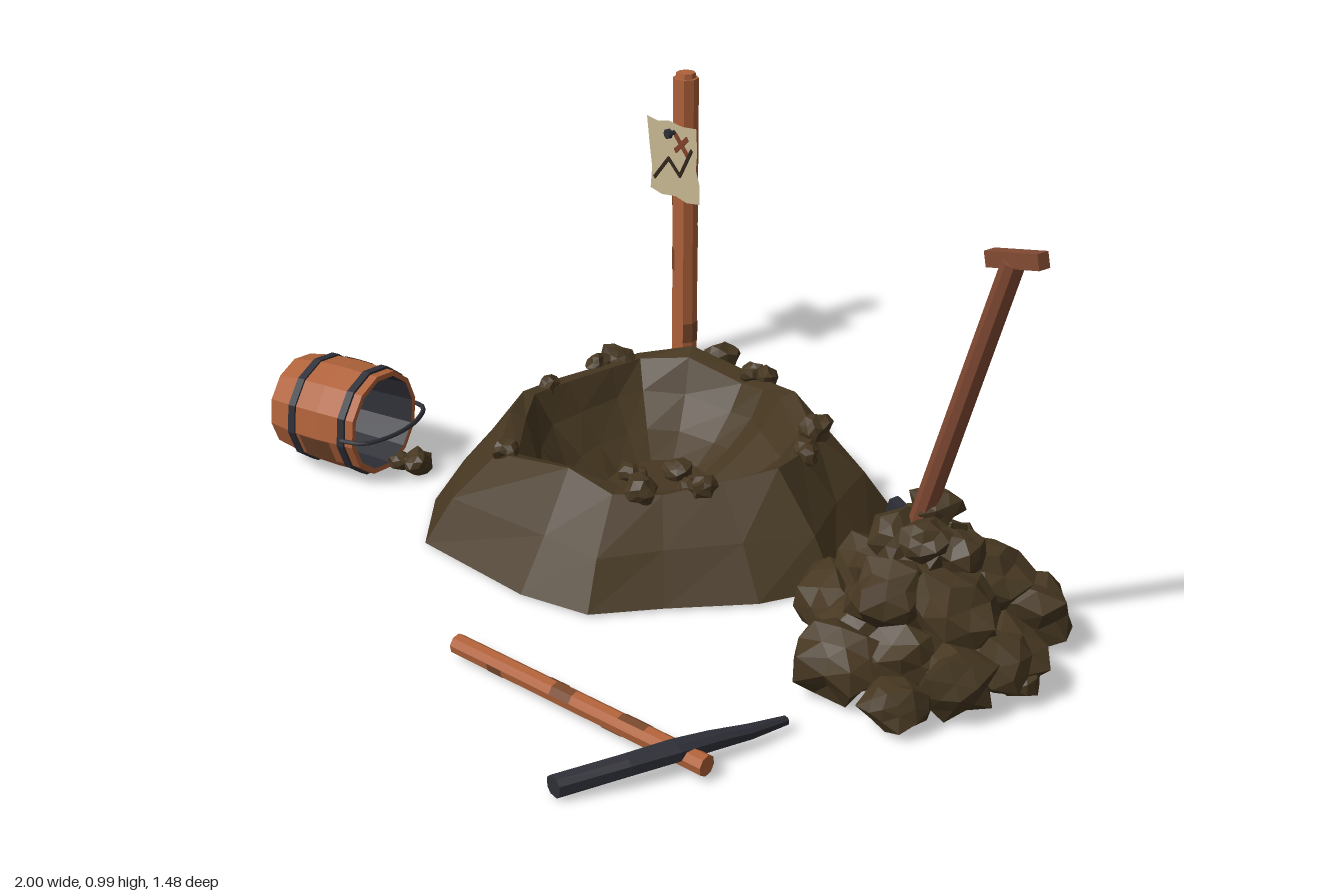
import * as THREE from 'three';

const mat = (name, color, side = THREE.FrontSide) => {
  const m = new THREE.MeshStandardMaterial({ color, side });
  m.name = name;
  return m;
};
const V = (x, y, z) => new THREE.Vector3(x, y, z);
const UP = V(0, 1, 0);

// Faceted normals
function flat(geo) {
  const g = geo.index ? geo.toNonIndexed() : geo;
  g.computeVertexNormals();
  return g;
}

// Closed strip of faces through rings of equal point count
function loft(rings) {
  const pos = [];
  const n = rings[0].length;
  for (let i = 0; i + 1 < rings.length; i++) {
    for (let j = 0; j < n; j++) {
      const k = (j + 1) % n;
      const a = rings[i][j], b = rings[i][k], c = rings[i + 1][j], d = rings[i + 1][k];
      for (const p of [a, c, b, b, c, d]) pos.push(p.x, p.y, p.z);
    }
  }
  const g = new THREE.BufferGeometry();
  g.setAttribute('position', new THREE.Float32BufferAttribute(pos, 3));
  return flat(g);
}

// Irregular stone, flattened where it meets the ground
function rockGeo(x, y, z, r, seed, yaw = seed * 1.3) {
  const g = new THREE.IcosahedronGeometry(1, 1);
  const p = g.attributes.position;
  for (let i = 0; i < p.count; i++) {
    const v = V(0, 0, 0).fromBufferAttribute(p, i);
    const h = Math.sin(Math.round(v.x * 50) * 1.7 + Math.round(v.y * 50) * 2.3 + Math.round(v.z * 50) * 3.1 + seed * 5.7) * 437.5;
    const s = r * (0.72 + 0.46 * (h - Math.floor(h)));
    v.multiply(V(1.1, 0.82, 0.88)).applyAxisAngle(UP, yaw).multiplyScalar(s);
    p.setXYZ(i, x + v.x, Math.max(0.015, y + v.y), z + v.z);
  }
  return flat(g);
}

export function createModel() {
  const root = new THREE.Group();
  root.name = 'diggingSite';
  const earth = mat('earth', 0x463721);
  const wood = mat('wood', 0xb0623a);
  const darkWood = mat('dark wood', 0x824a33);
  const stain = mat('wood stain', 0x78482c, THREE.DoubleSide);
  const iron = mat('iron', 0x2e2f37, THREE.DoubleSide);
  const paper = mat('paper', 0xc6b692, THREE.DoubleSide);
  const ink = mat('ink', 0x33261c);
  const red = mat('red mark', 0x80402a);

  const add = (name, geo, material, parent = root) => {
    const m = new THREE.Mesh(geo, material);
    m.name = name;
    parent.add(m);
    return m;
  };
  const rod = (name, a, b, r0, r1, material, sides = 8, open = false, t0 = 0, tl = Math.PI * 2) => {
    const d = b.clone().sub(a);
    const m = add(name, flat(new THREE.CylinderGeometry(r1, r0, d.length(), sides, 1, open, t0, tl)), material);
    m.position.copy(a).lerp(b, 0.5);
    m.quaternion.setFromUnitVectors(UP, d.normalize());
    return m;
  };
  // Worn patches lying on a shaft: [start, end, facet]
  const stains = (name, a, b, r, list) => list.forEach(([s, e, t]) =>
    rod(name, a.clone().lerp(b, s), a.clone().lerp(b, e), r, r, stain, 2, true, t * Math.PI / 4, Math.PI / 2));

  // Crater mound, its rim dipping where the soil has slipped
  const cx = -0.18, cz = -0.14;
  const outline = [[-0.32, -0.69], [-0.18, -0.68], [-0.01, -0.615], [0.22, -0.55], [0.33, -0.37], [0.4, -0.2],
    [0.35, -0.02], [0.24, 0.16], [0.16, 0.31], [0, 0.38], [-0.33, 0.43], [-0.5, 0.3], [-0.64, 0.13],
    [-0.7, -0.05], [-0.71, -0.29], [-0.71, -0.44], [-0.56, -0.59]];
  const profile = [[0, 0.015, 0], [1, 0.015, 0], [0.86, 0.12, 0.004], [0.67, 0.232, 0.022], [0.6, 0.222, 0.02],
    [0.52, 0.15, 0.01], [0.39, 0.085, 0.006], [0.26, 0.04, 0], [0, 0.035, 0]];
  add('craterMound', loft(profile.map(([s, y, w], i) => outline.map(([x, z], j) => {
    const k = i > 1 ? s * (1 + 0.03 * Math.sin(j * 2.4 + i)) : s;
    const px = cx + (x - cx) * k;
    return V(px, y - w * Math.cos((px + 0.25) * 18.5), cz + (z - cz) * k);
  }))), earth);

  // Pebbles on the rim, on the crater floor and beside the bucket
  const rim = [[-0.39, -0.5], [-0.22, -0.51], [-0.26, -0.5], [0.07, -0.42], [0.16, -0.31], [0.15, -0.02], [0.07, 0.1],
    [-0.27, 0.235], [-0.5, -0.04], [-0.55, -0.28], [-0.545, -0.22]];
  const floor = [[-0.21, -0.22], [-0.11, -0.18], [-0.26, -0.12], [-0.155, -0.075]];
  rim.forEach(([x, z], i) => add('rimPebble', rockGeo(x, 0.222, z, 0.033 + 0.01 * (i % 3 === 0), i + 1), earth));
  floor.forEach(([x, z], i) => add('floorPebble', rockGeo(x, 0.055, z, 0.035, i + 20), earth));
  add('bucketPebble', rockGeo(-0.655, 0.04, 0.255, 0.042, 31), earth);
  add('bucketPebble', rockGeo(-0.69, 0.035, 0.28, 0.03, 32), earth);

  // Heap of stones: x, y, z, radius, yaw
  [[0.53, 0.09, -0.42, 0.094, 0.2], [0.68, 0.08, -0.36, 0.08, 1], [0.8, 0.1, -0.38, 0.098, 0.5], [0.9, 0.09, -0.2, 0.1, 0],
    [0.9, 0.085, -0.08, 0.095, 2], [0.71, 0.09, 0.065, 0.1, 0.4], [0.54, 0.09, -0.07, 0.1, 2.6], [0.87, 0.065, 0.06, 0.07, 1],
    [0.43, 0.05, -0.24, 0.055, 0], [0.53, 0.09, -0.24, 0.1, 1.2], [0.64, 0.09, -0.06, 0.1, 2], [0.8, 0.1, -0.03, 0.09, 0.7],
    [0.7, 0.1, -0.22, 0.14, 1.7], [0.59, 0.17, -0.14, 0.095, 0.3], [0.62, 0.18, -0.27, 0.095, 2.1], [0.75, 0.19, -0.29, 0.095, 0.9],
    [0.8, 0.18, -0.16, 0.1, 0], [0.7, 0.19, -0.08, 0.095, 1.3], [0.68, 0.26, -0.2, 0.095, 2.4], [0.76, 0.28, -0.2, 0.065, 0.6],
    [0.66, 0.29, -0.13, 0.063, 1.9], [0.69, 0.35, -0.2, 0.058, 0.2], [0.74, 0.31, -0.14, 0.054, 1.1],
    [0.95, 0.06, -0.21, 0.045, 0.5], [0.48, 0.06, -0.12, 0.05, 2]]
    .forEach(([x, y, z, r, yaw], i) => add('heapStone', rockGeo(x, y, z, r, i + 40, yaw), earth));

  // Shovel stuck in the heap
  rod('shovelShaft', V(0.62, 0.13, -0.171), V(0.885, 0.96, -0.171), 0.025, 0.0235, darkWood);
  const grip = add('shovelGrip', new THREE.BoxGeometry(0.138, 0.032, 0.029), darkWood);
  grip.position.set(0.891, 0.967, -0.171);
  grip.rotation.z = 0.25;
  const blade = add('shovelBlade', new THREE.BoxGeometry(0.13, 0.19, 0.025), iron);
  blade.position.set(0.62, 0.22, -0.185);
  blade.rotation.z = -0.3;

  // Pickaxe on the ground
  const p0 = V(0.12, 0.038, 0.618), p1 = V(0.785, 0.042, 0.468);
  rod('pickShaft', p0, p1, 0.0225, 0.0225, wood);
  stains('pickShaftStain', p0, p1, 0.0237, [[0.16, 0.22, 0], [0.38, 0.45, 4], [0.42, 0.5, 6], [0.62, 0.7, 1], [0.68, 0.78, 5]]);
  const head = [[0.75, 0.034, 0.24, 0.009, 0.009], [0.747, 0.043, 0.33, 0.016, 0.014], [0.735, 0.052, 0.42, 0.021, 0.018],
    [0.722, 0.055, 0.5, 0.025, 0.02], [0.7, 0.051, 0.6, 0.022, 0.02], [0.655, 0.035, 0.735, 0.021, 0.021]];
  const corners = [[-1, -0.5], [-1, 0.5], [-0.5, 1], [0.5, 1], [1, 0.5], [1, -0.5], [0.5, -1], [-0.5, -1]];
  const headRing = ([x, y, z, w, h]) => corners.map(([a, b]) => V(x + a * w, y + b * h, z));
  const cap = ([x, y, z]) => corners.map(() => V(x, y, z));
  add('pickHead', loft([cap(head[0]), ...head.map(headRing), cap(head[5])]), iron);

  // Bucket lying on its side, with hoops and a bail
  const c = V(-0.83, 0.146, 0.365), d = V(0.92, 0, -0.39).normalize(), side = V(0.39, 0, 0.92).normalize();
  const bucket = new THREE.Group();
  bucket.name = 'bucket';
  bucket.position.copy(c);
  bucket.quaternion.setFromUnitVectors(UP, d);
  root.add(bucket);
  const lathe = (name, pts, m, p0 = 0, pl = Math.PI * 2, n = 12) =>
    add(name, flat(new THREE.LatheGeometry(pts.map(p => new THREE.Vector2(...p)), n, p0, pl)), m, bucket);
  lathe('bucketStaves', [[0, -0.132], [0.12, -0.132], [0.132, -0.06], [0.135, 0.02], [0.131, 0.13], [0.118, 0.13]], wood);
  lathe('bucketInside', [[0.118, 0.13], [0.11, -0.09], [0, -0.09]], iron);
  for (const [y, r] of [[-0.055, 0.137], [0.098, 0.138]]) {
    lathe('bucketHoop', [[r - 0.01, y - 0.01], [r, y - 0.01], [r, y + 0.01], [r - 0.01, y + 0.01]], iron);
  }
  for (const k of [1, 4, 8]) {
    lathe('bucketStain', [[0.1358, -0.03], [0.1367, 0.02], [0.1352, 0.06]], stain, k * Math.PI / 6, Math.PI / 6, 1);
  }
  const bail = [[0.1, -0.136], [0.16, -0.12], [0.19, -0.06], [0.198, 0], [0.19, 0.06], [0.16, 0.12], [0.1, 0.136]]
    .map(([a, b]) => c.clone().addScaledVector(d, a).addScaledVector(side, b));
  add('bucketBail', new THREE.TubeGeometry(new THREE.CatmullRomCurve3(bail), 20, 0.006, 6), iron);

  // Sign post with bevelled ends
  const b0 = V(-0.815, 0.022, -0.706), b1 = V(-0.815, 0.828, -0.706);
  rod('signPost', b0, b1, 0.035, 0.035, wood);
  rod('postTop', b1, V(-0.815, 0.842, -0.706), 0.028, 0.026, wood);
  rod('postFoot', V(-0.815, 0.012, -0.706), b0, 0.026, 0.028, wood);
  stains('postStain', b0, b1, 0.0362, [[0.06, 0.13, 1], [0.32, 0.4, 6], [0.4, 0.48, 3], [0.55, 0.62, 5]]);

  // Notice sheet with a trail, a cross and its nail
  const sheet = new THREE.Shape([[-0.938, 0.7], [-0.89, 0.697], [-0.84, 0.709], [-0.78, 0.706], [-0.72, 0.715], [-0.715, 0.65],
    [-0.72, 0.6], [-0.703, 0.56], [-0.703, 0.508], [-0.76, 0.497], [-0.81, 0.503], [-0.87, 0.492], [-0.922, 0.498],
    [-0.915, 0.56], [-0.926, 0.62]].map(p => new THREE.Vector2(...p)));
  add('notice', new THREE.ShapeGeometry(sheet), paper).position.z = -0.668;
  const stroke = (name, [x0, y0], [x1, y1], w, m) => {
    const s = add(name, new THREE.BoxGeometry(Math.hypot(x1 - x0, y1 - y0) + w / 2, w, 0.003), m);
    s.position.set((x0 + x1) / 2, (y0 + y1) / 2, -0.6655);
    s.rotation.z = Math.atan2(y1 - y0, x1 - x0);
  };
  const trail = [[-0.9, 0.535], [-0.837, 0.604], [-0.787, 0.567], [-0.737, 0.65]];
  for (let i = 0; i < 3; i++) stroke('trailLine', trail[i], trail[i + 1], 0.01, ink);
  stroke('crossMark', [-0.805, 0.635], [-0.757, 0.677], 0.014, red);
  stroke('crossMark', [-0.805, 0.677], [-0.757, 0.635], 0.014, red);
  rod('nail', V(-0.815, 0.682, -0.68), V(-0.815, 0.682, -0.648), 0.007, 0.007, iron);
  rod('nailHead', V(-0.815, 0.682, -0.652), V(-0.815, 0.682, -0.642), 0.014, 0.014, iron);
  return root;
}
